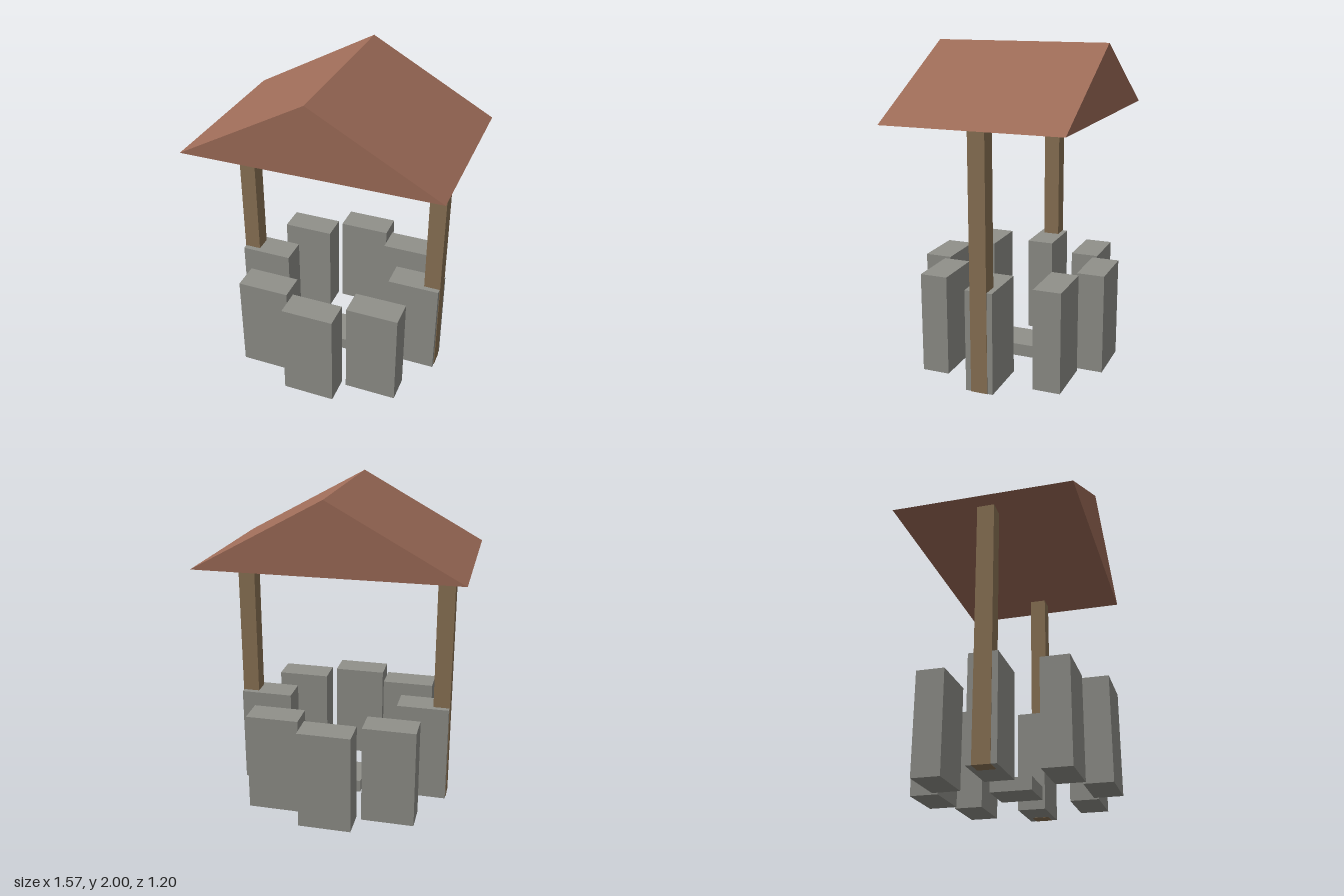
import * as THREE from 'three';

const stone = new THREE.MeshStandardMaterial({ color: 0x90908a });
stone.name = 'stone grey';
const wood = new THREE.MeshStandardMaterial({ color: 0x8b7355 });
wood.name = 'wood brown';
const tile = new THREE.MeshStandardMaterial({ color: 0x9e6c58 });
tile.name = 'roof clay';

// Box standing on height y
function box(name, w, h, d, x, y, z, material) {
  const mesh = new THREE.Mesh(new THREE.BoxGeometry(w, h, d), material);
  mesh.name = name;
  mesh.position.set(x, y + h / 2, z);
  return mesh;
}

export function createModel() {
  const group = new THREE.Group();
  group.name = 'well';

  // Ring of eight upright stones, all facing the same way
  const ring = new THREE.Group();
  ring.name = 'stoneRing';
  const count = 8, radius = 0.513;
  for (let i = 0; i < count; i++) {
    const a = (i / count) * Math.PI * 2;
    ring.add(box('wallStone', 0.328, 0.628, 0.172,
      Math.cos(a) * radius, 0.001, Math.sin(a) * radius, stone));
  }
  group.add(ring);

  // Low slab in the middle of the shaft
  group.add(box('centreSlab', 0.25, 0.08, 0.25, 0, 0, 0, stone));

  // Two posts, standing just proud of the side stones
  for (const side of [1, -1]) {
    group.add(box(side > 0 ? 'leftPost' : 'rightPost', 0.104, 1.572, 0.104,
      side * 0.628, 0, 0, wood));
  }

  // Solid gable roof with its ridge running front to back
  const gable = new THREE.Shape();
  gable.moveTo(-0.783, 1.572);
  gable.lineTo(0.783, 1.572);
  gable.lineTo(0, 2);
  gable.closePath();
  const roofGeometry = new THREE.ExtrudeGeometry(gable, { depth: 1.096, bevelEnabled: false });
  roofGeometry.translate(0, 0, -0.548);
  const roof = new THREE.Mesh(roofGeometry, tile);
  roof.name = 'roof';
  group.add(roof);

  return group;
}
